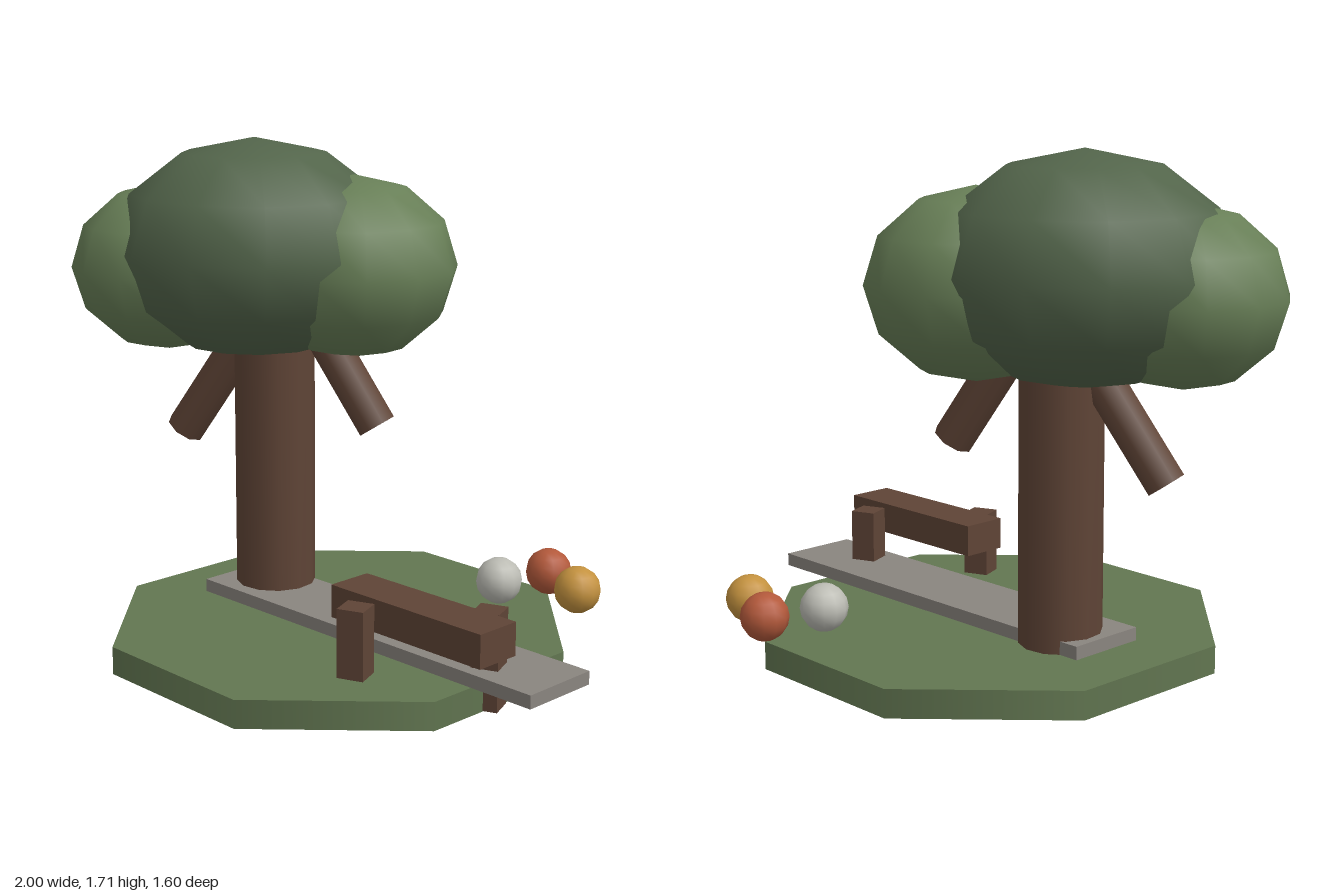
import * as THREE from 'three';

const COLORS = {
  grass: 0x627651, bark: 0x5f4436, stone: 0x8a857f, leafDark: 0x53654b, leafLight: 0x687f57,
  white: 0xbcbcb4, red: 0xb3593b, yellow: 0xc4923f,
};
const materials = {};
for (const key in COLORS) materials[key] = new THREE.MeshStandardMaterial({ color: COLORS[key] });

export function createModel() {
  const group = new THREE.Group();

  const add = (name, geometry, color, x, y, z) => {
    const mesh = new THREE.Mesh(geometry, materials[color]);
    mesh.name = name;
    mesh.position.set(x, y, z);
    group.add(mesh);
    return mesh;
  };

  // Eight-sided lawn
  add('lawn', new THREE.CylinderGeometry(0.8, 0.8, 0.095, 8), 'grass', 0.045, 0.0475, 0);

  // Trunk running from the ground into the crown
  add('trunk', new THREE.CylinderGeometry(0.14, 0.14, 1.2, 12), 'bark', -0.275, 0.602, -0.165);

  // Branches: placed by the centre of the low outer end, leaning in towards the trunk
  const addBranch = (name, x, y, lean, length) => {
    const geometry = new THREE.CylinderGeometry(0.07, 0.07, length, 8);
    geometry.translate(0, length / 2, 0);
    add(name, geometry, 'bark', x, y, -0.165).rotation.z = lean;
  };
  addBranch('rightBranch', -0.633, 0.66, -0.6, 0.6);
  addBranch('leftBranch', 0.113, 0.742, 0.58, 0.5);

  // Crown of three squashed balls of leaves
  const addLeaves = (name, color, x, y, z, rx, ry, rz) =>
    add(name, new THREE.SphereGeometry(1, 12, 6).scale(rx, ry, rz), color, x, y, z);
  addLeaves('crownMiddle', 'leafDark', -0.35, 1.33, -0.17, 0.5, 0.38, 0.485);
  addLeaves('crownRight', 'leafLight', -0.665, 1.255, -0.115, 0.335, 0.295, 0.335);
  addLeaves('crownLeft', 'leafLight', -0.01, 1.275, -0.245, 0.36, 0.315, 0.36);

  // Slanting stone path and the bench along it
  const slant = -0.38;
  add('path', new THREE.BoxGeometry(1.5, 0.045, 0.285), 'stone', 0.25, 0.1175, 0.0915).rotation.y = slant;
  add('benchSeat', new THREE.BoxGeometry(0.635, 0.11, 0.163), 'bark', 0.495, 0.285, 0.39).rotation.y = slant;
  for (const [name, x, z] of [['benchLegRight', 0.305, 0.465], ['benchLegLeft', 0.697, 0.317]]) {
    add(name, new THREE.BoxGeometry(0.09, 0.322, 0.09), 'bark', x, 0.163, z);
  }

  // Three balls at the back
  for (const [name, color, x, z] of [
    ['whiteBall', 'white', 0.493, -0.377],
    ['redBall', 'red', 0.622, -0.545],
    ['yellowBall', 'yellow', 0.773, -0.393],
  ]) {
    add(name, new THREE.SphereGeometry(0.082, 12, 8), color, x, 0.174, z);
  }

  return group;
}
